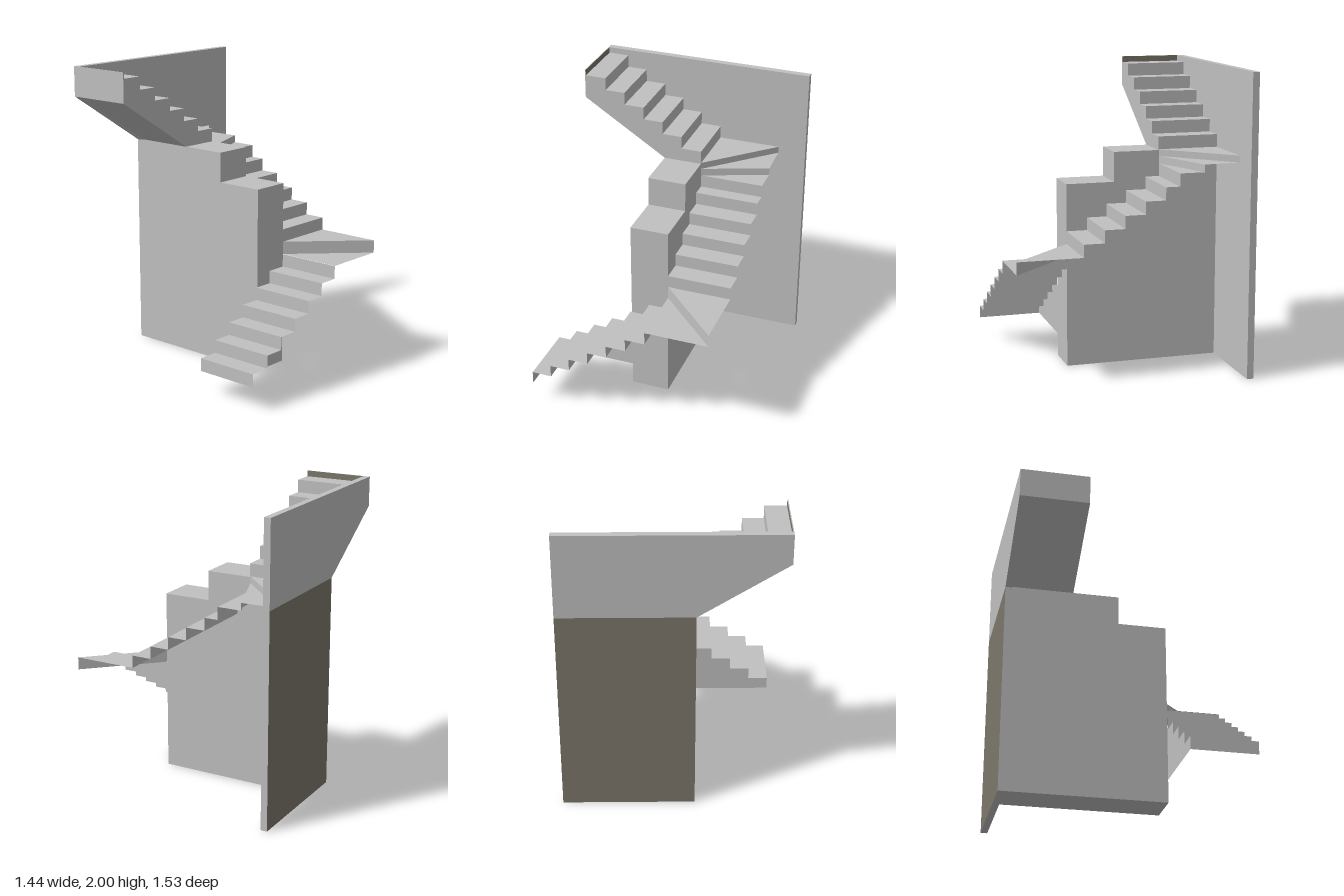
import * as THREE from 'three';

const grey = new THREE.MeshStandardMaterial({ color: 0xc0c0c0 });
grey.name = 'plasterGrey';
grey.side = THREE.DoubleSide;
const brown = new THREE.MeshStandardMaterial({ color: 0x7d776b });
brown.name = 'backingBrown';

const RISE = 0.0855;

export function createModel() {
  const group = new THREE.Group();
  const add = (name, geometry, material = grey) => {
    const mesh = new THREE.Mesh(geometry, material);
    mesh.name = name;
    group.add(mesh);
    return mesh;
  };

  // Box between two corners
  const box = (a, b) => new THREE.BoxGeometry(b[0] - a[0], b[1] - a[1], b[2] - a[2])
    .translate((a[0] + b[0]) / 2, (a[1] + b[1]) / 2, (a[2] + b[2]) / 2);

  // Outline in x and y, extruded between two z positions
  const extrude = (points, z0, z1) => new THREE.ExtrudeGeometry(
    new THREE.Shape(points.map(p => new THREE.Vector2(p[0], p[1]))),
    { depth: z1 - z0, bevelEnabled: false }).translate(0, 0, z0);

  // Flat convex faces, each a list of corners
  const faces = list => {
    const pos = [];
    for (const f of list)
      for (let i = 1; i < f.length - 1; i++) pos.push(...f[0], ...f[i], ...f[i + 1]);
    const g = new THREE.BufferGeometry();
    g.setAttribute('position', new THREE.Float32BufferAttribute(pos, 3));
    g.computeVertexNormals();
    return g;
  };

  // Stepped profile: a riser at each edge position, a tread up to the next one
  const steps = (edges, y0, rise = RISE) => {
    const pts = [[edges[0], y0]];
    edges.forEach((e, i) => {
      pts.push([e, y0 + rise * (i + 1)]);
      if (i < edges.length - 1) pts.push([edges[i + 1], y0 + rise * (i + 1)]);
    });
    return pts;
  };

  // Folded sheet that follows a stepped profile
  const folded = (profile, toNear, toFar) => faces(profile.slice(1).map((p, i) =>
    [toNear(profile[i]), toNear(p), toFar(p), toFar(profile[i])]));

  // Back wall: lower part with a brown rear face, upper part reaching over the top flight
  add('lowerWall', box([-0.15, 0, -0.765], [0.72, 1.435, -0.72]), [grey, grey, grey, grey, grey, brown]);
  add('upperWall', extrude(
    [[-0.15, 1.435], [0.72, 1.435], [0.72, 2], [-0.72, 2], [-0.72, 1.8]], -0.765, -0.72));

  // Stepped core between the flights
  add('coreFront', box([-0.15, 0, 0.005], [0.11, 1.24, 0.33]));
  add('coreBack', box([-0.15, 0, -0.72], [0.11, 1.44, 0.005]));

  // Lower flight, rising to the left, with a closed panel along its inner side
  const lowerEdges = [-0.7, -0.565, -0.43, -0.295, -0.16, -0.025, 0.11];
  add('lowerFlight', folded(steps(lowerEdges, 0.155),
    p => [p[0], p[1], 0.765], p => [p[0], p[1], 0.33]));
  const panel = steps(lowerEdges.slice(0, 4), 0.155);
  add('lowerSidePanel', new THREE.ShapeGeometry(new THREE.Shape(
    [...panel, [-0.15, panel.at(-1)[1]], [-0.15, 0.155]].map(p => new THREE.Vector2(p[0], p[1])))))
    .position.z = 0.33;

  // Winder: triangular treads round a pivot, with a riser between neighbours
  const winder = (pivot, rim, heights) => {
    const list = [];
    const at = (p, y) => [p[0], y, p[1]];
    heights.forEach((y, i) => {
      list.push([at(pivot, y), at(rim[i], y), at(rim[i + 1], y)]);
      if (i) list.push([at(pivot, heights[i - 1]), at(rim[i], heights[i - 1]), at(rim[i], y), at(pivot, y)]);
    });
    return faces(list);
  };
  add('lowerWinder', winder([0.11, 0.33], [[0.11, 0.765], [0.54, 0.765], [0.54, 0.33]], [0.755, 0.84]));
  add('upperWinder', winder([0.11, -0.31],
    [[0.54, -0.31], [0.54, -0.475], [0.53, -0.72], [0.11, -0.72]], [1.35, 1.4, 1.445]));

  // Middle flight, rising towards the back wall
  add('middleFlight', folded(steps([0.33, 0.19, 0.055, -0.08, -0.215, -0.31], 0.84, 0.085),
    p => [0.11, p[1], p[0]], p => [0.54, p[1], p[0]]));

  // Upper flight with solid sides and a sloping soffit
  const upper = steps([0.11, -0.03, -0.165, -0.3, -0.438, -0.573], 1.445, 0.0858);
  add('upperFlight', extrude(
    [...upper, [-0.72, 1.96], [-0.72, 1.8], [-0.15, 1.44], [0.11, 1.44]], -0.72, -0.305));

  // Lip at the head of the stairs
  add('topLip', box([-0.72, 1.96, -0.72], [-0.714, 2, -0.305]), [brown, grey, grey, grey, grey, grey]);

  return group;
}
